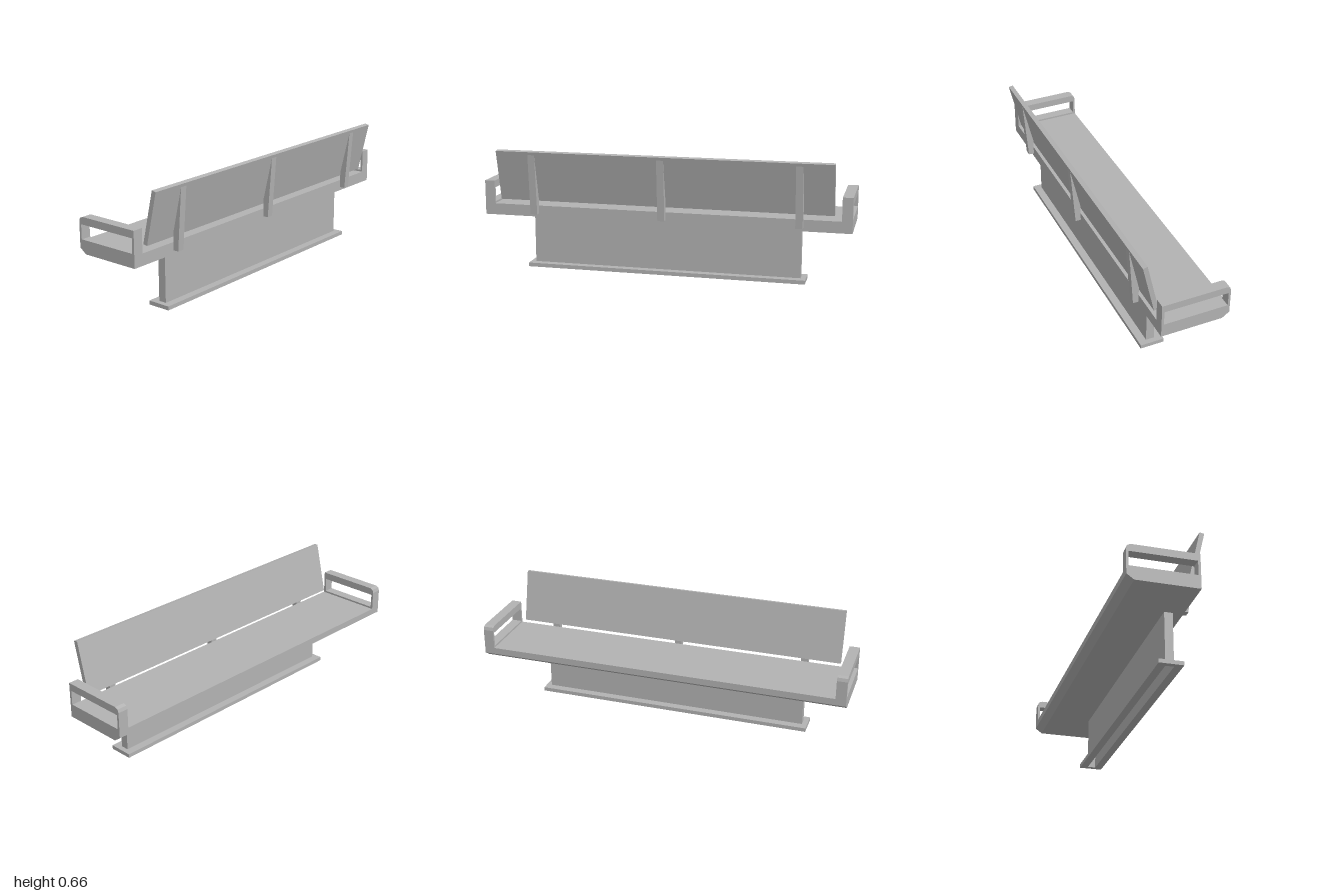
import * as THREE from 'three';

const grey = new THREE.MeshStandardMaterial({ color: 0xb2b2b2 });
grey.name = 'grey';
const greyShell = new THREE.MeshStandardMaterial({ color: 0xb2b2b2, side: THREE.DoubleSide });
greyShell.name = 'grey';

const toPoints = (list) => list.map(([x, y]) => new THREE.Vector2(x, y));

// Extrudes an x-y side profile along z between z0 and z1, with an optional hole
function profile(name, outline, z0, z1, hole) {
  const shape = new THREE.Shape(toPoints(outline));
  if (hole) shape.holes.push(new THREE.Path(toPoints(hole)));
  const geometry = new THREE.ExtrudeGeometry(shape, { depth: z1 - z0, bevelEnabled: false });
  geometry.translate(0, 0, z0);
  const mesh = new THREE.Mesh(geometry, grey);
  mesh.name = name;
  return mesh;
}

const rect = (x0, x1, y0, y1) => [[x0, y0], [x1, y0], [x1, y1], [x0, y1]];

export function createModel() {
  const bench = new THREE.Group();
  bench.name = 'bench';

  // Seat slab with a chamfered lower front edge
  bench.add(profile('seat', [
    [-0.213, 0.315], [-0.175, 0.288], [0.153, 0.288], [0.153, 0.35], [-0.213, 0.35],
  ], -0.945, 0.945));

  // Looped armrests at both ends
  const armOutline = [
    [-0.213, 0.315], [-0.175, 0.288], [0.153, 0.288], [0.153, 0.476],
    [-0.19, 0.476], [-0.207, 0.469], [-0.213, 0.452],
  ];
  const armHole = rect(-0.201, 0.14, 0.36, 0.437);
  bench.add(profile('leftArmrest', armOutline, 0.945, 1, armHole));
  bench.add(profile('rightArmrest', armOutline, -1, -0.945, armHole));

  // Leaning backrest board
  bench.add(profile('backrest', [
    [0.124, 0.381], [0.148, 0.376], [0.212, 0.652], [0.188, 0.657],
  ], -0.908, 0.908));

  // Tapered brackets joining the backrest to the seat
  for (const z of [-0.73, 0, 0.71]) {
    bench.add(profile('backBracket', [
      [0.153, 0.307], [0.183, 0.307], [0.2085, 0.636], [0.153, 0.397],
    ], z - 0.019, z + 0.019));
  }

  // Hollow pedestal, open at the bottom (the fourth box side is dropped)
  const box = new THREE.BoxGeometry(0.044, 0.288, 1.47);
  const index = Array.from(box.index.array);
  index.splice(18, 6);
  box.setIndex(index);
  box.clearGroups();
  const pedestal = new THREE.Mesh(box, greyShell);
  pedestal.name = 'pedestal';
  pedestal.position.set(0.077, 0.144, 0);
  bench.add(pedestal);

  // Base flange around the pedestal foot
  const flange = profile('baseFlange', rect(0.013, 0.141, -0.763, 0.763), 0, 0.021,
    rect(0.055, 0.099, -0.735, 0.735));
  flange.rotation.x = -Math.PI / 2;
  bench.add(flange);

  return bench;
}
